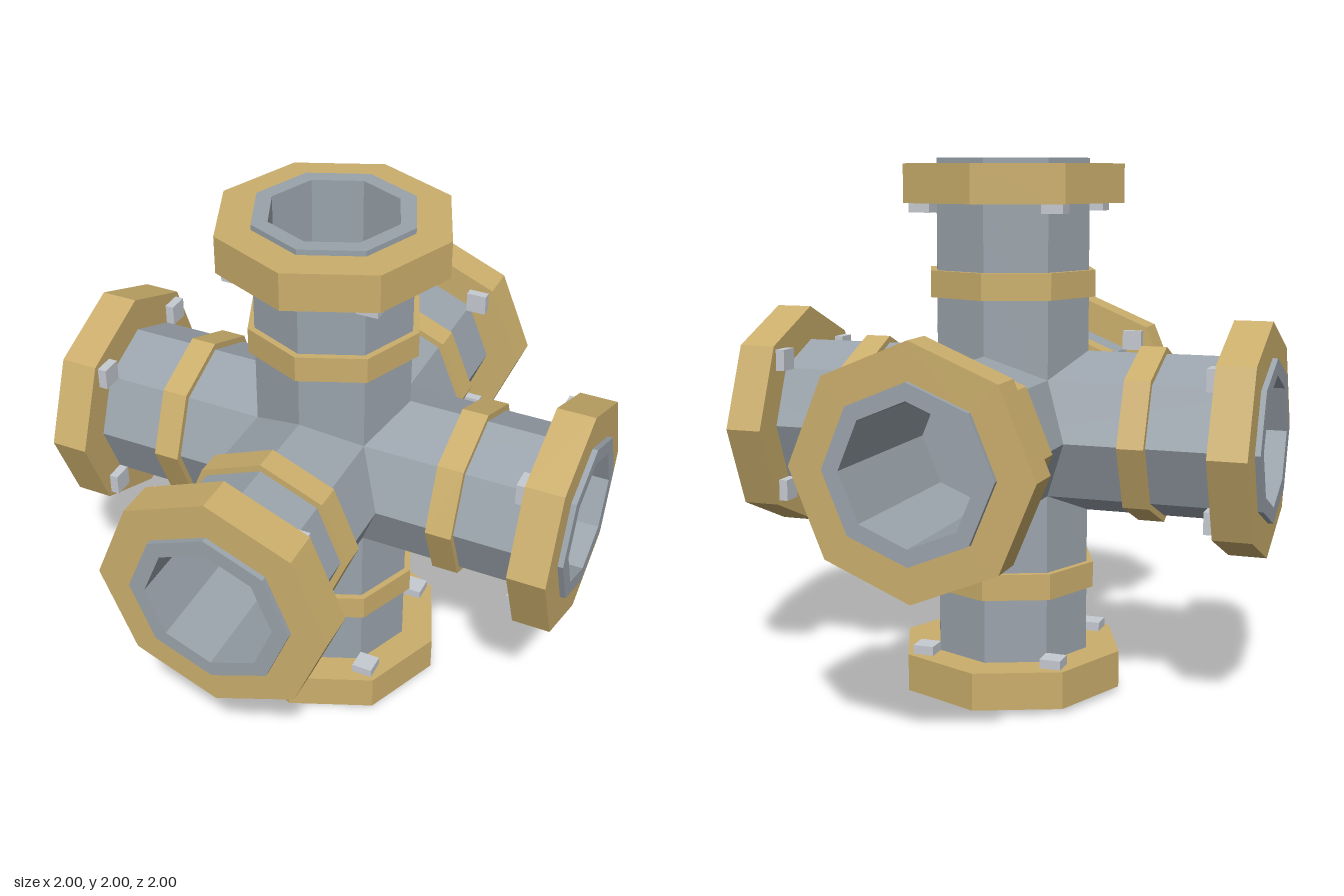
import * as THREE from 'three';

const steel = new THREE.MeshStandardMaterial({ color: 0x9aa3ab });
steel.name = 'pipe grey';
const brass = new THREE.MeshStandardMaterial({ color: 0xcbae6c });
brass.name = 'brass';
const silver = new THREE.MeshStandardMaterial({ color: 0xc6cbd2 });
silver.name = 'bolt silver';

// Eight-sided turned part with flat facets; profile is [radius, height] pairs
function octagonal(profile) {
  const points = profile.map(([r, y]) => new THREE.Vector2(r, y));
  const geometry = new THREE.LatheGeometry(points, 8).toNonIndexed();
  geometry.computeVertexNormals();
  return geometry;
}

// Solid band around the pipe
function band(radius, from, to) {
  return octagonal([[0.28, from], [radius, from], [radius, to], [0.28, to]]);
}

const pipeGeometry = octagonal([[0.3, 0], [0.3, 1], [0.24, 1], [0.24, 0.3], [0, 0.3]]);
const collarGeometry = band(0.325, 0.5, 0.597);
const flangeGeometry = band(0.43, 0.84, 0.98);
const boltGeometry = new THREE.BoxGeometry(0.08, 0.06, 0.08);

function addPart(parent, name, geometry, material) {
  const mesh = new THREE.Mesh(geometry, material);
  mesh.name = name;
  parent.add(mesh);
  return mesh;
}

// One pipe arm pointing along +y
function createArm(name) {
  const arm = new THREE.Group();
  arm.name = name;
  addPart(arm, 'pipe', pipeGeometry, steel);
  addPart(arm, 'collar', collarGeometry, brass);
  addPart(arm, 'flange', flangeGeometry, brass);
  for (const x of [-0.25, 0.25]) {
    for (const z of [-0.25, 0.25]) {
      addPart(arm, 'bolt', boltGeometry, silver).position.set(x, 0.836, z);
    }
  }
  return arm;
}

export function createModel() {
  const model = new THREE.Group();
  model.name = 'sixWayPipeJunction';
  const q = Math.PI / 2;

  // Six arms meeting at the centre
  const arms = [
    ['topArm', 0, 0],
    ['bottomArm', Math.PI, 0],
    ['frontArm', q, 0],
    ['backArm', -q, 0],
    ['leftArm', 0, -q],
    ['rightArm', 0, q],
  ];
  for (const [name, rx, rz] of arms) {
    const arm = createArm(name);
    arm.rotation.set(rx, 0, rz);
    arm.position.y = 1;
    model.add(arm);
  }
  return model;
}
